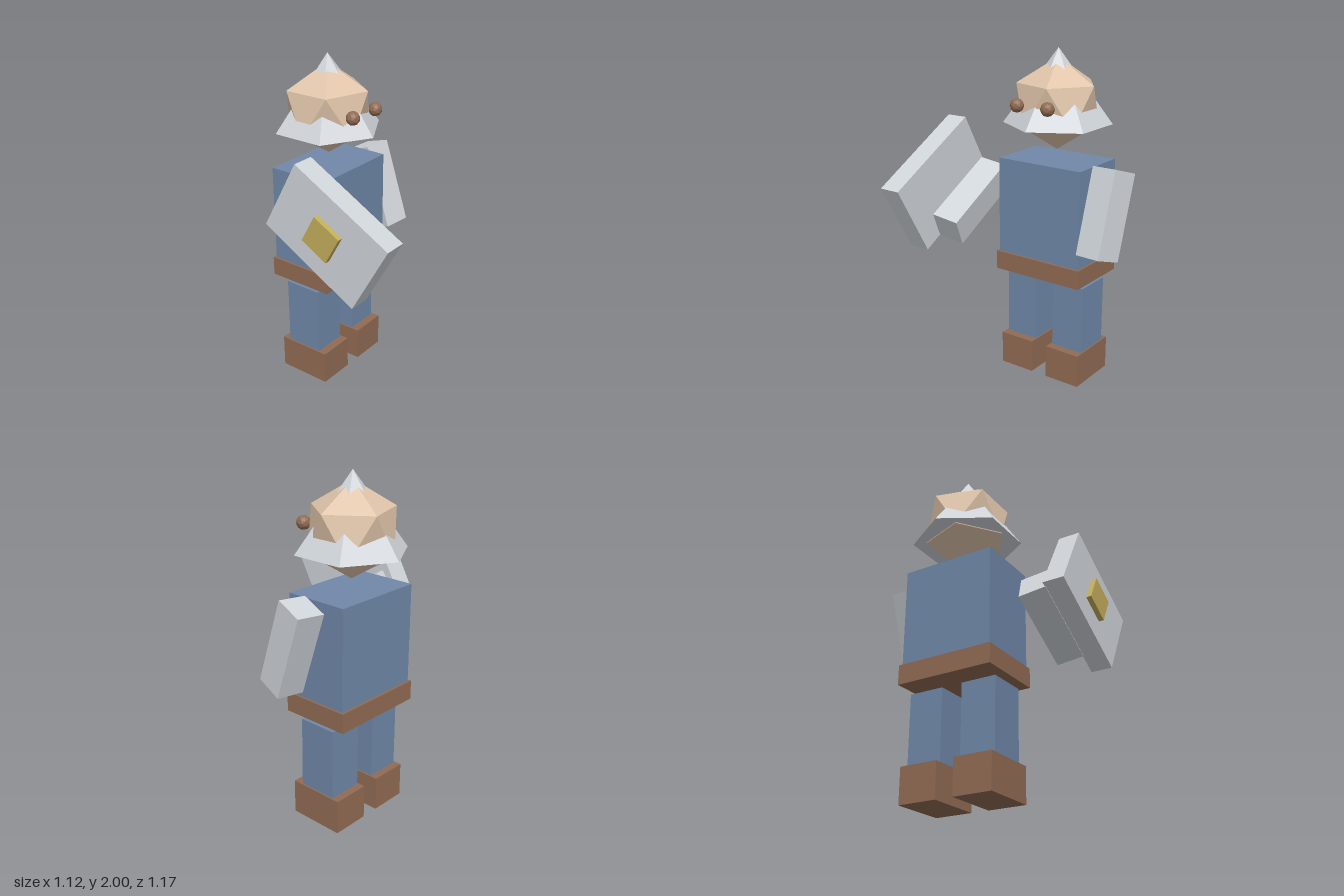
import * as THREE from 'three';

const paint = (name, color) => {
  const m = new THREE.MeshStandardMaterial({ color, flatShading: true });
  m.name = name;
  return m;
};

export function createModel() {
  const steel = paint('steel', 0xd0d5da);
  const cloth = paint('blue cloth', 0x7088a8);
  const leather = paint('brown leather', 0x916b53);
  const skin = paint('skin', 0xe0c5aa);
  const gold = paint('gold', 0xc4ae5c);

  const model = new THREE.Group();
  model.name = 'figure';
  const add = (name, geometry, material, pos, rot = [0, 0, 0]) => {
    const mesh = new THREE.Mesh(geometry, material);
    mesh.name = name;
    mesh.position.set(...pos);
    mesh.rotation.set(...rot);
    model.add(mesh);
  };
  const box = (name, size, material, pos, rot) =>
    add(name, new THREE.BoxGeometry(...size), material, pos, rot);

  const cx = 0.075, cz = -0.267; // body axis
  const rad = THREE.MathUtils.degToRad;

  // Torso and belt
  box('torso', [0.565, 0.64, 0.385], cloth, [cx, 1.035, cz]);
  box('belt', [0.59, 0.115, 0.415], leather, [cx, 0.7125, cz]);

  // Legs and boots
  for (const [side, s] of [['left', 1], ['right', -1]]) {
    box(side + 'Leg', [0.21, 0.46, 0.235], cloth, [cx + s * 0.168, 0.393, cz]);
    box(side + 'Boot', [0.23, 0.205, 0.335], leather, [cx + s * 0.168, 0.1025, cz + 0.004]);
    // Eyes stand out in front of the face
    add(side + 'Eye', new THREE.IcosahedronGeometry(0.041, 1), leather, [cx + s * 0.104, 1.695, -0.01]);
  }

  // Head stands on one corner of an icosahedron
  const head = new THREE.IcosahedronGeometry(0.269, 0);
  head.rotateZ(-Math.atan(2 / (1 + Math.sqrt(5))));
  add('head', head, skin, [cx, 1.68, cz]);

  // Six-sided helmet cone; its tip and brim show through the head
  add('helmet', new THREE.ConeGeometry(0.32, 0.435, 6), steel, [cx, 1.7825, cz]);

  // Arms: the right one is raised to hold the shield
  const arm = [0.1655, 0.515, 0.18];
  const raised = rad(-61);
  box('leftArm', arm, steel, [0.4625, 1.1, -0.188], [rad(-18), rad(-10), 0]);
  box('rightArm', arm, steel, [-0.31, 1.11, 0.059], [raised, rad(10), 0]);

  // Shield with a gold boss on its outer face
  box('shield', [0.13, 0.67, 0.457], steel, [-0.466, 1.225, 0.181], [raised, 0, 0]);
  box('shieldBoss', [0.06, 0.18, 0.18], gold, [-0.532, 1.222, 0.18], [raised, 0, 0]);

  return model;
}
